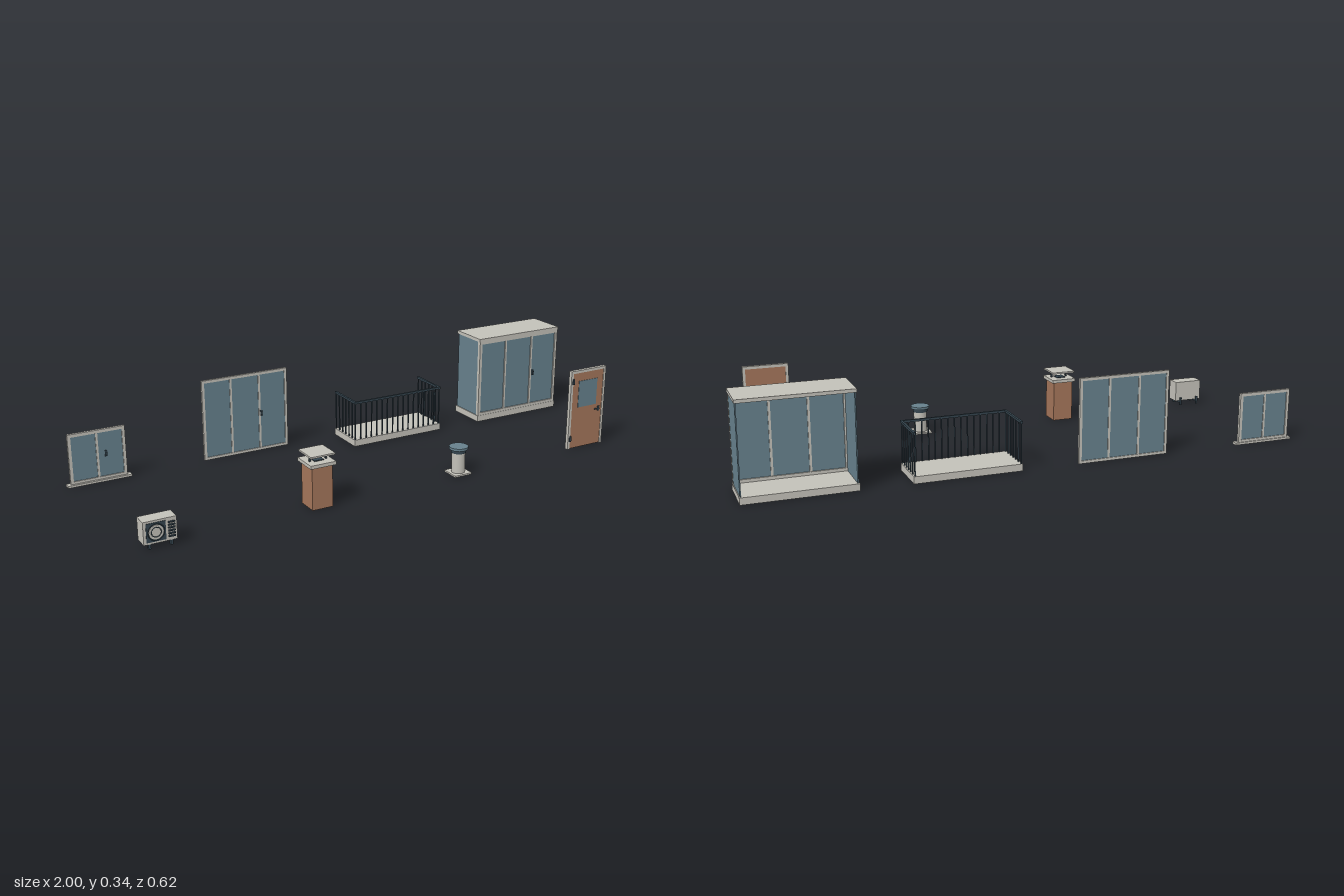
import * as THREE from 'three';

const mat = (name, color) => {
  const m = new THREE.MeshStandardMaterial({ color });
  m.name = name;
  return m;
};

export function createModel() {
  const model = new THREE.Group();
  model.name = 'buildingParts';
  const grey = mat('paleGrey', 0xc2c0b8);
  const glass = mat('blueGlass', 0x66808c);
  const brown = mat('brown', 0xa3755a);
  const dark = mat('darkMetal', 0x34444e);

  const group = (name, x, z) => {
    const g = new THREE.Group();
    g.name = name;
    g.position.set(x, 0, z);
    model.add(g);
    return g;
  };
  const add = (g, name, geo, m, x, y, z) => {
    const mesh = new THREE.Mesh(geo, m);
    mesh.name = name;
    mesh.position.set(x, y, z);
    g.add(mesh);
    return mesh;
  };
  // box given by its limits on each axis
  const box = (g, name, m, x0, x1, y0, y1, z0, z1) =>
    add(g, name, new THREE.BoxGeometry(x1 - x0, y1 - y0, z1 - z0), m,
      (x0 + x1) / 2, (y0 + y1) / 2, (z0 + z1) / 2);
  const cyl = (g, name, m, r0, r1, y0, y1, sides = 24) =>
    add(g, name, new THREE.CylinderGeometry(r1, r0, y1 - y0, sides), m, 0, (y0 + y1) / 2, 0);

  // lever handle: plate, neck and grip
  const handle = (g, x, y, z) => {
    box(g, 'handlePlate', dark, x - 0.004, x + 0.004, y - 0.011, y + 0.011, z, z + 0.003);
    box(g, 'handleGrip', dark, x - 0.003, x + 0.003, y - 0.009, y + 0.005, z + 0.003, z + 0.006);
  };

  // framed glazing with n panes, centred on x = 0
  const glazing = (g, w, y0, y1, z0, z1, n, t) => {
    const h = w / 2, zm = (z0 + z1) / 2;
    for (const s of [-1, 1])
      box(g, 'frameStile', grey, Math.min(s * h, s * (h - t)), Math.max(s * h, s * (h - t)), y0, y1, z0, z1);
    box(g, 'frameBottom', grey, -h + t, h - t, y0, y0 + t, z0, z1);
    box(g, 'frameTop', grey, -h + t, h - t, y1 - t, y1, z0, z1);
    box(g, 'glassPane', glass, -h + t, h - t, y0 + t, y1 - t, zm - 0.002, zm + 0.002);
    for (let i = 1; i < n; i++) {
      const x = -h + (w * i) / n;
      box(g, 'mullion', grey, x - 0.004, x + 0.004, y0 + t, y1 - t, z0 + 0.001, z1 - 0.001);
    }
  };

  // small window with a sill
  const small = group('smallWindow', -0.885, -0.3);
  glazing(small, 0.204, 0.006, 0.19, -0.008, 0.003, 2, 0.011);
  box(small, 'sill', grey, -0.115, 0.115, 0, 0.008, -0.012, 0.012);
  handle(small, 0.03, 0.1, 0.001);

  // wide window
  const wide = group('wideWindow', -0.321, -0.3);
  glazing(wide, 0.338, 0, 0.303, -0.008, 0.002, 3, 0.01);
  handle(wide, 0.062, 0.145, 0.001);

  // balcony with railing on three sides
  const balcony = group('balcony', 0.246, -0.23);
  box(balcony, 'slab', grey, -0.191, 0.191, 0, 0.025, -0.078, 0.078);
  box(balcony, 'frontRail', dark, -0.19, 0.19, 0.167, 0.175, 0.07, 0.078);
  for (let i = 0; i <= 16; i++) {
    const x = -0.186 + (0.372 * i) / 16;
    box(balcony, 'baluster', dark, x - 0.002, x + 0.002, 0.025, 0.167, 0.072, 0.076);
  }
  for (const s of [-1, 1]) {
    const x = s * 0.186;
    box(balcony, 'sideRail', dark, x - 0.004, x + 0.004, 0.167, 0.175, -0.078, 0.07);
    for (let i = 0; i < 6; i++) {
      const z = -0.074 + i * 0.0247;
      box(balcony, 'baluster', dark, x - 0.002, x + 0.002, 0.025, 0.167, z - 0.002, z + 0.002);
    }
  }

  // glazed balcony, open at the back
  const loggia = group('glazedBalcony', 0.808, -0.23);
  box(loggia, 'floorSlab', grey, -0.192, 0.192, 0, 0.024, -0.078, 0.078);
  box(loggia, 'roofSlab', grey, -0.192, 0.192, 0.327, 0.339, -0.078, 0.078);
  glazing(loggia, 0.38, 0.024, 0.327, 0.063, 0.077, 3, 0.011);
  for (const s of [-1, 1])
    box(loggia, 'sideGlass', glass, s * 0.187 - 0.002, s * 0.187 + 0.002, 0.024, 0.327, -0.071, 0.063);
  handle(loggia, 0.073, 0.165, 0.076);

  // air conditioner on two brackets
  const ac = group('airConditioner', -0.888, 0.278);
  box(ac, 'casing', grey, -0.055, 0.055, 0.016, 0.093, -0.024, 0.028);
  box(ac, 'fanPanel', dark, -0.046, 0.018, 0.023, 0.086, 0.028, 0.03);
  add(ac, 'fanDisc', new THREE.CylinderGeometry(0.024, 0.024, 0.002, 24), grey, -0.014, 0.0545, 0.031)
    .rotation.x = Math.PI / 2;
  for (const r of [0.027, 0.016])
    add(ac, 'grilleRing', new THREE.TorusGeometry(r, 0.0015, 6, 28), dark, -0.014, 0.0545, 0.0325);
  for (let i = 0; i < 6; i++) {
    const y = 0.029 + i * 0.0095;
    box(ac, 'louvre', dark, 0.026, 0.048, y, y + 0.004, 0.028, 0.034);
  }
  for (const x of [-0.036, 0.036]) {
    box(ac, 'bracketArm', dark, x - 0.004, x + 0.004, 0.009, 0.016, -0.032, 0.028);
    box(ac, 'bracketFoot', dark, x - 0.004, x + 0.004, 0, 0.009, 0.016, 0.028);
    box(ac, 'bracketBack', dark, x - 0.004, x + 0.004, 0, 0.03, -0.034, -0.029);
  }

  // chimney with a raised rain cap
  const chimney = group('chimney', -0.32, 0.258);
  box(chimney, 'shaft', brown, -0.038, 0.038, 0, 0.15, -0.038, 0.038);
  box(chimney, 'crown', grey, -0.047, 0.047, 0.15, 0.162, -0.047, 0.047);
  box(chimney, 'flue', dark, -0.017, 0.017, 0.162, 0.165, -0.017, 0.017);
  for (const x of [-0.03, 0.03])
    box(chimney, 'capPost', dark, x - 0.003, x + 0.003, 0.162, 0.185, 0.003, 0.009);
  box(chimney, 'rainCap', grey, -0.045, 0.045, 0.185, 0.191, -0.045, 0.045);

  // roof vent pipe
  const vent = group('roofVent', 0.244, 0.258);
  box(vent, 'flange', grey, -0.035, 0.035, 0, 0.006, -0.035, 0.035);
  cyl(vent, 'pipe', grey, 0.024, 0.024, 0.006, 0.08);
  cyl(vent, 'collar', dark, 0.027, 0.027, 0.08, 0.093);
  cyl(vent, 'cap', glass, 0.034, 0.034, 0.093, 0.102);

  // door with a small window
  const door = group('door', 0.808, 0.265);
  for (const s of [-1, 1])
    box(door, 'doorFrameSide', grey, s * 0.076 - 0.005, s * 0.076 + 0.005, 0, 0.304, -0.007, 0.007);
  box(door, 'doorFrameTop', grey, -0.071, 0.071, 0.294, 0.304, -0.007, 0.007);
  box(door, 'doorLeaf', brown, -0.071, 0.071, 0.002, 0.294, -0.004, 0.005);
  box(door, 'doorGlass', glass, -0.043, 0.043, 0.16, 0.262, 0.005, 0.0065);
  box(door, 'handlePlate', dark, 0.052, 0.06, 0.132, 0.15, 0.005, 0.008);
  box(door, 'handleLever', dark, 0.036, 0.06, 0.139, 0.144, 0.008, 0.011);
  for (const y of [0.03, 0.253])
    box(door, 'hinge', dark, -0.075, -0.067, y, y + 0.021, 0.005, 0.01);

  return model;
}
